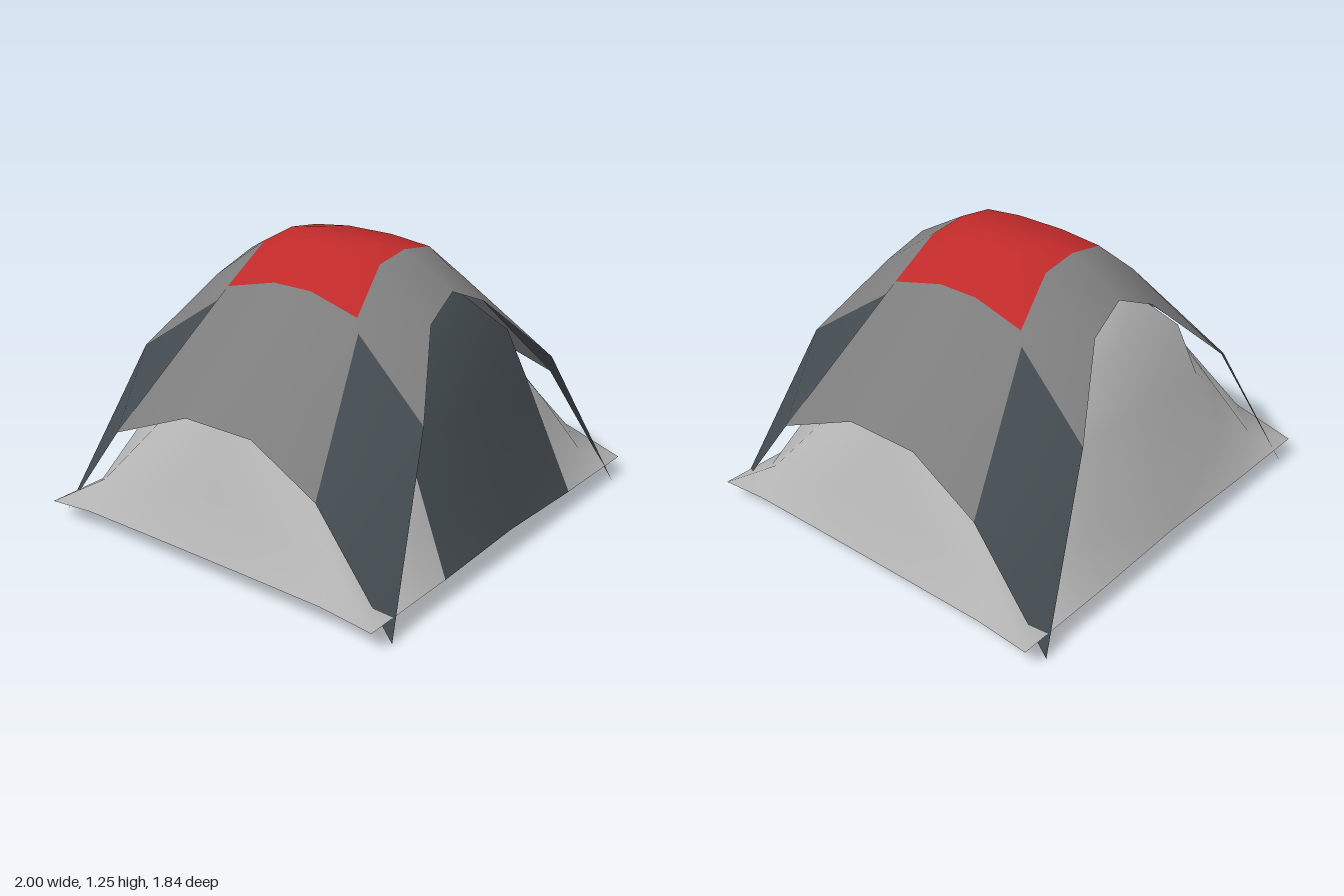
import * as THREE from 'three';
import { mergeVertices } from 'three/addons/utils/BufferGeometryUtils.js';

const cloth = (name, color) => {
  const m = new THREE.MeshStandardMaterial({ color, side: THREE.DoubleSide });
  m.name = name;
  return m;
};

// Collects triangles of one quarter, mirrors them to all four, and welds them
// into one smooth sheet with a material group per colour.
function quarterSheet(name, materials) {
  const buckets = materials.map(() => []);
  const tri = (front, a, b, c, back = front) => {
    for (const sx of [1, -1]) for (const sz of [1, -1]) {
      const corners = sx * sz > 0 ? [a, b, c] : [a, c, b];
      for (const [x, y, z] of corners) buckets[sz > 0 ? front : back].push(x * sx, y, z * sz);
    }
  };
  const quad = (front, a, b, c, d, back = front) => {
    tri(front, a, b, c, back);
    tri(front, a, c, d, back);
  };
  const finish = () => {
    let geo = new THREE.BufferGeometry();
    geo.setAttribute('position', new THREE.Float32BufferAttribute(buckets.flat(), 3));
    let start = 0;
    buckets.forEach((b, i) => {
      geo.addGroup(start, b.length / 3, i);
      start += b.length / 3;
    });
    geo = mergeVertices(geo, 1e-4);
    geo.computeVertexNormals();
    const mesh = new THREE.Mesh(geo, materials);
    mesh.name = name;
    return mesh;
  };
  return { tri, quad, finish };
}

export function createModel() {
  const red = cloth('red roof cloth', 0xc02a2a);
  const grey = cloth('grey fly cloth', 0x7d7d7d);
  const dark = cloth('dark slate cloth', 0x434b50);
  const light = cloth('light inner cloth', 0xb6b6b6);
  const group = new THREE.Group();
  group.name = 'tent';

  // Outer fly: columns run from the arched edge, to the roof patch, to the flat top
  const fly = quarterSheet('outerFly', [grey, red, dark]);
  const roofCorner = [0.385, 1.05, 0.355];
  const frontShoulder = [0.5, 0.72, 0.77];
  const sideShoulder = [0.9, 0.48, 0.55];
  const legTop = [0.41, 0.995, 0.38];
  const foot = [0.9, 0, 0.92];
  const flat = [0.17, 1.245, 0.12];
  const peak = [0, 1.245, 0];
  const frontColumns = [
    [[0, 1.105, 0.56], [0, 1.245, 0.31], [0, 1.245, 0.12]],
    [[0.2, 1.02, 0.59], [0.18, 1.22, 0.315], flat],
    [frontShoulder, roofCorner, flat],
  ];
  const sideColumns = [
    [sideShoulder, roofCorner, flat],
    [[0.85, 0.625, 0.18], [0.37, 1.11, 0.1], flat],
    [[0.85, 0.625, 0], [0.37, 1.11, 0], [0.17, 1.245, 0]],
  ];
  for (const cols of [frontColumns, sideColumns]) {
    for (let i = 0; i < 2; i++) {
      const a = cols[i], b = cols[i + 1];
      fly.quad(0, a[0], b[0], b[1], a[1]);
      fly.quad(1, a[1], b[1], b[2], a[2]);
      fly.tri(1, a[2], b[2], peak);
    }
  }
  // Grey slivers above the legs, then the dark leg panels bulging outward
  fly.tri(0, frontShoulder, legTop, roofCorner);
  fly.tri(0, legTop, sideShoulder, roofCorner);
  fly.tri(2, frontShoulder, sideShoulder, legTop);
  fly.tri(2, frontShoulder, foot, sideShoulder);
  group.add(fly.finish());

  // Inner tent: columns from the flared hem up to the peak
  const inner = quarterSheet('innerTent', [light, dark]);
  const columns = [
    // front centre
    [[0, 0.105, 0.895], [0, 0.33, 0.8], [0, 0.62, 0.685], [0, 0.88, 0.57], [0, 1.02, 0.45], [0, 1.11, 0.24]],
    // door edge
    [[0.505, 0.088, 0.895], [0.487, 0.32, 0.793], [0.465, 0.6, 0.67], [0.445, 0.82, 0.57], [0.27, 1.01, 0.42], [0.15, 1.11, 0.2]],
    // corner
    [[1, 0.085, 0.895], [0.83, 0.15, 0.77], [0.7, 0.42, 0.63], [0.55, 0.68, 0.49], [0.33, 0.95, 0.31], [0.15, 1.1, 0.15]],
    // side panel
    [[1, 0.108, 0.65], [0.9, 0.23, 0.65], [0.77, 0.54, 0.4], [0.63, 0.75, 0.32], [0.39, 0.99, 0.24], [0.18, 1.1, 0.1]],
    // side panel near the middle
    [[1, 0.11, 0.25], [0.9, 0.31, 0.25], [0.82, 0.605, 0.2], [0.66, 0.77, 0.17], [0.41, 1.01, 0.14], [0.2, 1.11, 0.06]],
    // side centre
    [[1, 0.11, 0], [0.9, 0.32, 0], [0.825, 0.62, 0], [0.67, 0.78, 0], [0.42, 1.02, 0], [0.2, 1.11, 0]],
  ];
  for (let i = 0; i < columns.length - 1; i++) {
    const a = columns[i], b = columns[i + 1];
    const front = i === 0 ? 1 : 0; // the door is dark on the front only
    for (let j = 0; j < a.length - 1; j++) inner.quad(front, a[j], b[j], b[j + 1], a[j + 1], 0);
    inner.tri(front, a[5], b[5], [0, 1.14, 0], 0);
  }
  group.add(inner.finish());
  return group;
}
